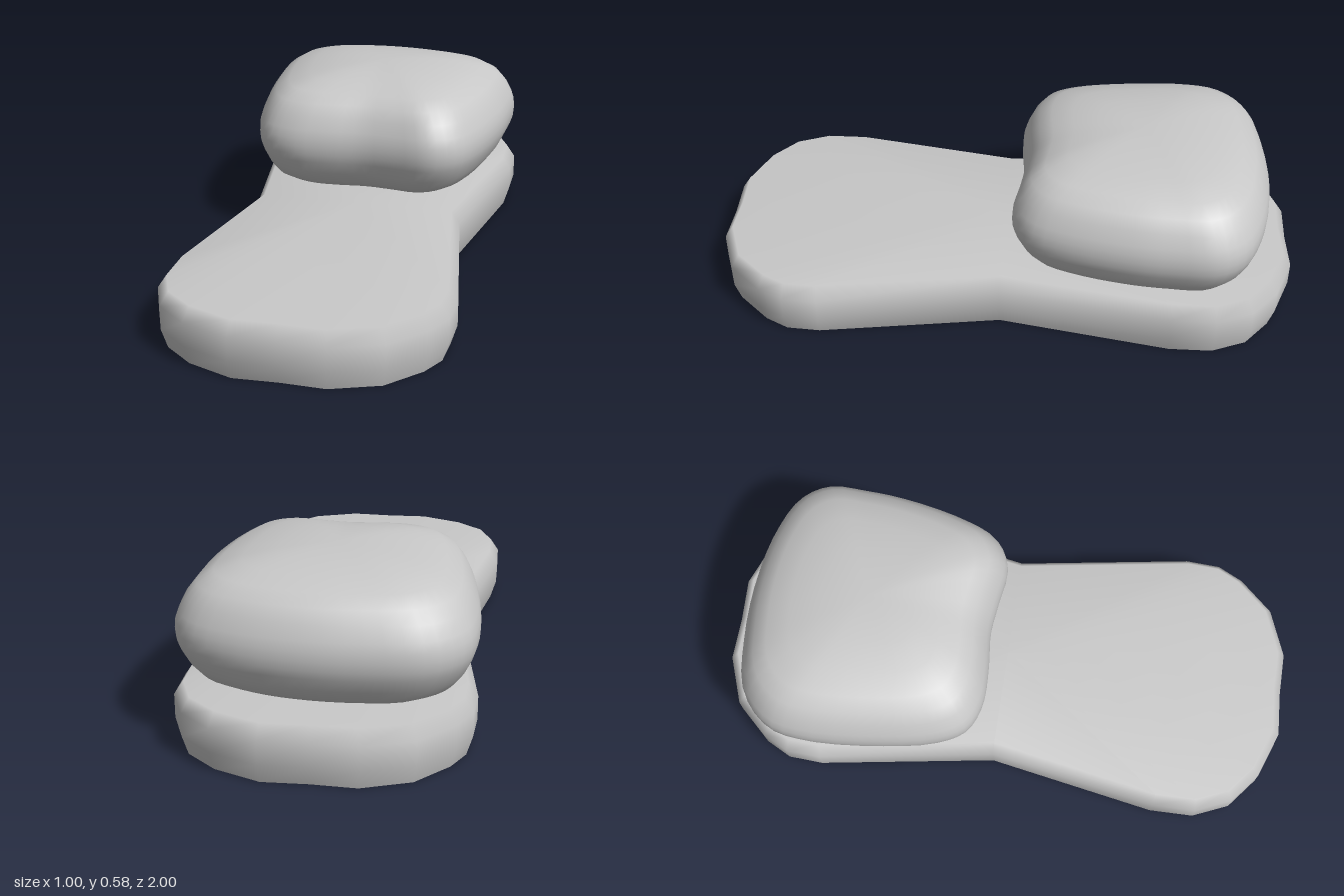
import * as THREE from 'three';

// Skin stacked rings (bottom to top) into a smooth solid with a fanned top and a flat bottom.
function loft(rings, topCentre, bottomCentre) {
  const n = rings[0].length;
  const pos = rings.flat(2);
  const idx = [];
  const top = rings.length * n;
  pos.push(...topCentre);
  rings[0].forEach((p) => pos.push(...p)); // separate bottom edge stays crisp
  pos.push(...bottomCentre);
  const last = top + n + 1;
  for (let i = 0; i < n; i++) {
    const j = (i + 1) % n;
    for (let r = 0; r < rings.length - 1; r++) {
      const a = r * n + i, b = r * n + j;
      idx.push(a, b, b + n, a, b + n, a + n);
    }
    idx.push(top, top - n + i, top - n + j);
    idx.push(last, top + 1 + j, top + 1 + i);
  }
  const g = new THREE.BufferGeometry();
  g.setAttribute('position', new THREE.Float32BufferAttribute(pos, 3));
  g.setIndex(idx);
  g.computeVertexNormals();
  return g;
}

// Move an outline inwards by d and lay it at height y.
function insetRing(outline, d, y) {
  const n = outline.length;
  return outline.map(([x, z], i) => {
    const [ax, az] = outline[(i + n - 1) % n];
    const [bx, bz] = outline[(i + 1) % n];
    const len = Math.hypot(bx - ax, bz - az);
    return [x + (d * (bz - az)) / len, y, z - (d * (bx - ax)) / len];
  });
}

export function createModel() {
  const group = new THREE.Group();
  const grey = new THREE.MeshStandardMaterial({ color: 0xc8c8c8 });
  grey.name = 'grey';

  const add = (name, geometry) => {
    const mesh = new THREE.Mesh(geometry, grey);
    mesh.name = name;
    group.add(mesh);
  };

  // Waisted base slab: the second half is the first turned by 180 degrees
  const half = [
    [0.37, -0.02], [0.44, -0.6], [0.43, -0.75], [0.37, -0.87], [0.26, -0.95], [0.1, -1],
    [-0.05, -0.985], [-0.2, -0.98], [-0.36, -0.91], [-0.46, -0.79], [-0.5, -0.7], [-0.5, -0.58],
  ];
  const slab = [...half, ...half.map(([x, z]) => [-x, -z])];
  const slabRings = [[0.02, 0], [0, 0.065], [0, 0.145], [0.03, 0.19]]
    .map(([d, y]) => insetRing(slab, d, y));
  add('base', loft(slabRings, [0, 0.19, 0], [0, 0, 0]));

  // Puffy cushion resting on the back half
  const curve = new THREE.CatmullRomCurve3([
    [0.43, -0.6], [0.42, -0.74], [0.35, -0.83], [0.2, -0.885], [0, -0.905], [-0.2, -0.89],
    [-0.38, -0.845], [-0.48, -0.74], [-0.5, -0.6], [-0.47, -0.35], [-0.42, -0.16],
    [-0.36, -0.07], [-0.26, -0.035], [-0.14, -0.04], [0, -0.06], [0.12, -0.055],
    [0.25, -0.05], [0.34, -0.11], [0.39, -0.24], [0.425, -0.45],
  ].map(([x, z]) => new THREE.Vector3(x, 0, z)), true);
  const edge = curve.getPoints(64).slice(0, 64);
  const cx = -0.035, cz = -0.47, midY = 0.365;
  // Height above the middle, and outline scale there
  const upper = [[0.03, 0.995], [0.06, 0.975], [0.105, 0.93], [0.145, 0.865],
    [0.175, 0.76], [0.198, 0.59], [0.213, 0.38], [0.219, 0.18]];
  const profile = [...upper.map(([h, s]) => [-h, s]).reverse(), [0, 1], ...upper];
  const cushionRings = profile.map(([h, s]) =>
    edge.map((p) => [cx + (p.x - cx) * s, midY + h, cz + (p.z - cz) * s]));
  add('cushion', loft(cushionRings, [cx, 0.585, cz], [cx, 0.145, cz]));

  return group;
}
